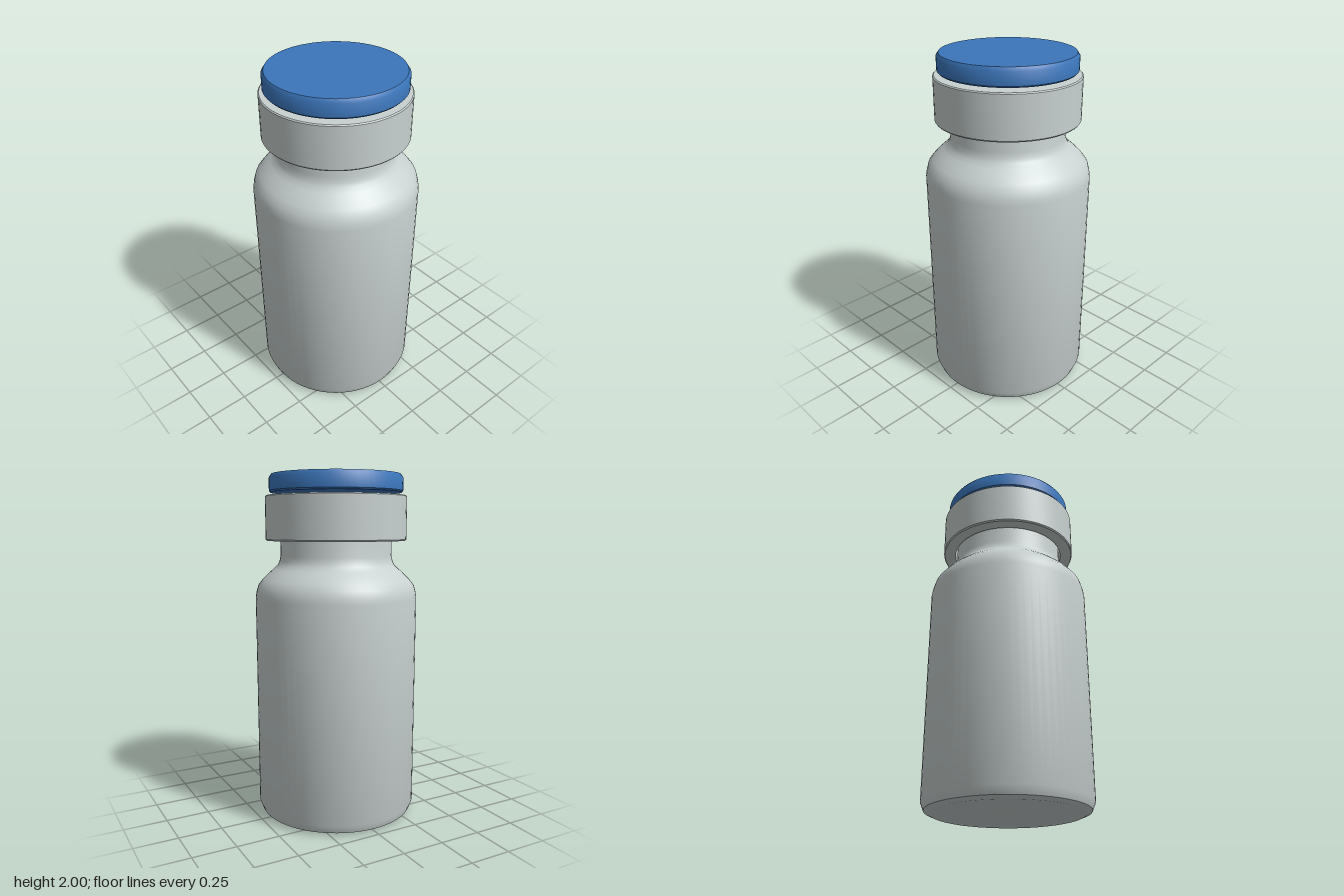
import * as THREE from 'three';
import { toCreasedNormals } from 'three/addons/utils/BufferGeometryUtils.js';

const SEGMENTS = 64;

// Turned part from [radius, height] pairs; sharp profile corners stay sharp
function turned(name, profile, material) {
  const points = profile.map(([r, y]) => new THREE.Vector2(r, y));
  const geometry = toCreasedNormals(new THREE.LatheGeometry(points, SEGMENTS), 0.6);
  const mesh = new THREE.Mesh(geometry, material);
  mesh.name = name;
  return mesh;
}

export function createModel() {
  const grey = new THREE.MeshStandardMaterial({ color: 0xc8d1d0 });
  grey.name = 'pale grey';
  const blue = new THREE.MeshStandardMaterial({ color: 0x3b76bb });
  blue.name = 'blue';

  const model = new THREE.Group();
  model.name = 'vial';

  // Bottle: base chamfer, straight wall, rounded shoulder, neck running up into the collar
  model.add(turned('bottle', [
    [0, 0], [0.42, 0], [0.455, 0.015], [0.473, 0.06],
    [0.473, 1.30], [0.468, 1.33], [0.457, 1.37], [0.43, 1.405], [0.394, 1.44],
    [0.365, 1.465], [0.341, 1.488], [0.331, 1.51], [0.324, 1.54],
    [0.324, 1.87], [0, 1.87],
  ], grey));

  // Crimp collar: hollow sleeve around the neck, closed on top
  model.add(turned('collar', [
    [0.335, 1.87], [0.335, 1.626], [0.403, 1.626], [0.409, 1.634],
    [0.409, 1.875], [0.403, 1.881], [0, 1.881],
  ], grey));

  // Flip-off cap: bevelled disc just above the collar
  model.add(turned('cap', [
    [0, 1.898], [0.378, 1.898], [0.386, 1.907],
    [0.386, 1.98], [0.373, 2], [0, 2],
  ], blue));

  return model;
}
